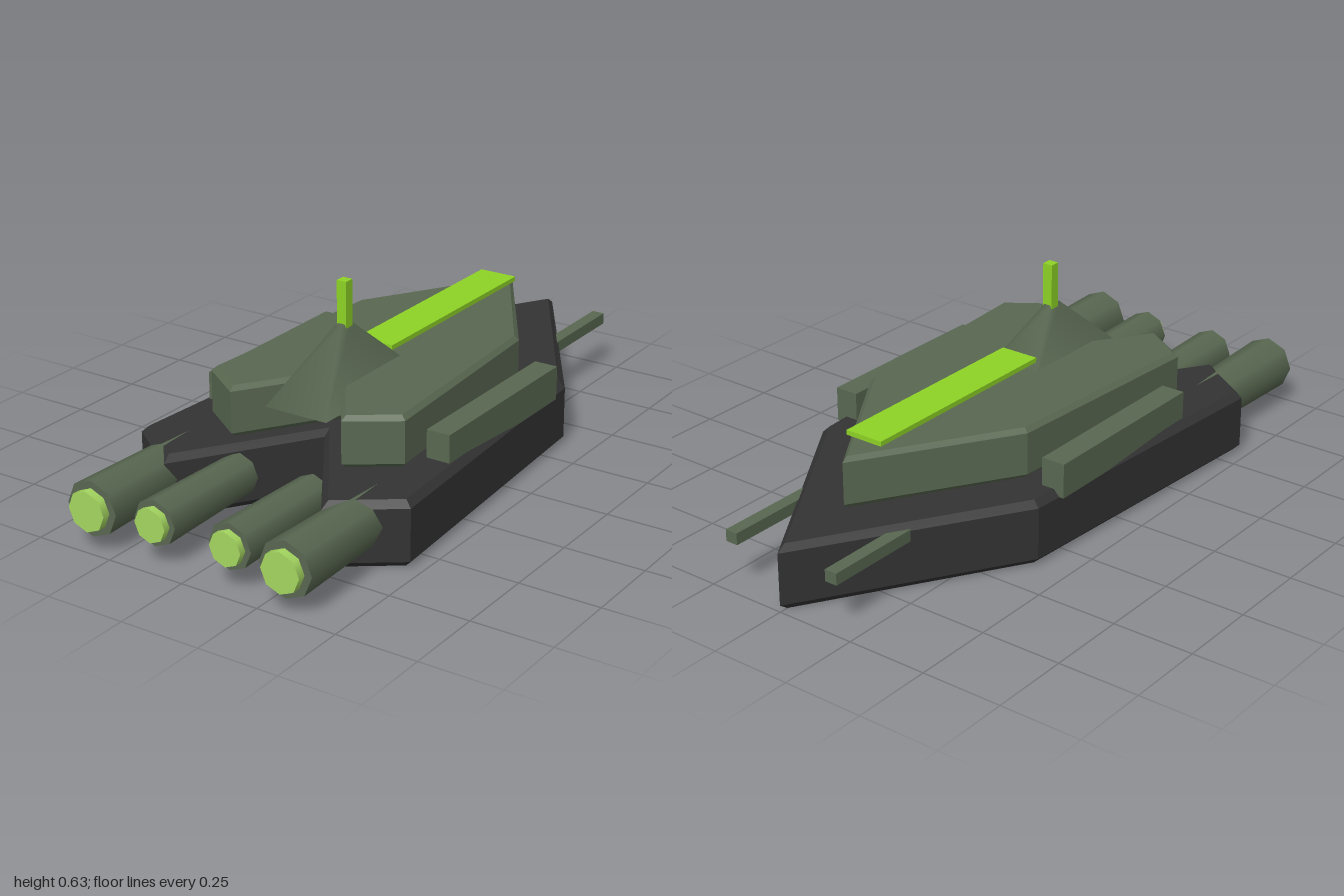
import * as THREE from 'three';

const paint = (color) => new THREE.MeshStandardMaterial({ color });

export function createModel() {
  const model = new THREE.Group();
  const dark = paint(0x333333);
  const olive = paint(0x596851);
  const green = paint(0x8ed325);
  const glow = paint(0xa5d760);

  const add = (name, geometry, material) => {
    const mesh = new THREE.Mesh(geometry, material);
    mesh.name = name;
    model.add(mesh);
    return mesh;
  };

  // box given by its lower and upper limits on each axis
  const box = (name, [x0, x1], [y0, y1], [z0, z1], material) =>
    add(name, new THREE.BoxGeometry(x1 - x0, y1 - y0, z1 - z0), material)
      .position.set((x0 + x1) / 2, (y0 + y1) / 2, (z0 + z1) / 2);

  // bevelled slab with a mirrored plan outline of (x, z) points
  const slab = (name, half, y0, y1, bevel, material) => {
    const left = half.filter(([x]) => x > 0).reverse().map(([x, z]) => [-x, z]);
    const shape = new THREE.Shape([...half, ...left].map(([x, z]) => new THREE.Vector2(x, z)));
    const geometry = new THREE.ExtrudeGeometry(shape, {
      depth: y1 - y0 - 2 * bevel,
      bevelThickness: bevel, bevelSize: bevel, bevelOffset: -bevel, bevelSegments: 1,
    });
    geometry.rotateX(Math.PI / 2).translate(0, y1 - bevel, 0);
    add(name, geometry, material);
  };

  // hull and the smaller deck of the same plan
  slab('hull', [[0, -1], [0.4, -0.37], [0.464, 0.59], [0.268, 0.73], [0, 0.33]], 0, 0.2, 0.02, dark);
  slab('upperDeck', [[0, -0.73], [0.29, -0.275], [0.335, 0.42], [0.19, 0.52], [0, 0.24]], 0.2, 0.357, 0.014, olive);

  // four-sided tower with the antenna on top
  const tower = new THREE.CylinderGeometry(0.1, 1, 0.2, 4, 1, false, Math.PI / 4);
  tower.scale(0.105 * Math.SQRT2, 1, 0.24 * Math.SQRT2);
  add('tower', tower, olive).position.set(0, 0.4, 0.23);
  box('antenna', [-0.016, 0.016], [0.48, 0.63], [0.207, 0.239], green);
  box('deckStripe', [-0.062, 0.062], [0.376, 0.391], [-0.64, 0.07], green);

  // eight-sided tapered barrel along z with a glowing core
  const thruster = (name, x, rBack, rFront, rGlow, z0, z1, glowEnd) => {
    const shell = new THREE.CylinderGeometry(rFront, rBack, z1 - z0, 8).rotateX(Math.PI / 2);
    add(name, shell, olive).position.set(x, 0.125, (z0 + z1) / 2);
    const core = new THREE.CylinderGeometry(rGlow, rGlow, 0.1, 8).rotateX(Math.PI / 2);
    add(name + 'Glow', core, glow).position.set(x, 0.125, glowEnd - 0.05);
  };

  for (const s of [1, -1]) {
    const side = s > 0 ? 'left' : 'right';
    const span = (a, b) => (s > 0 ? [a, b] : [-b, -a]);
    box(side + 'SidePod', span(0.345, 0.42), [0.18, 0.286], [-0.28, 0.325], olive);
    box(side + 'RearBarrel', span(0.16, 0.2), [0.148, 0.184], [-0.99, -0.5], olive);
    thruster(side + 'OuterThruster', s * 0.326, 0.074, 0.085, 0.062, 0.5, 0.975, 1);
    thruster(side + 'InnerThruster', s * 0.127, 0.062, 0.07, 0.052, 0.565, 0.95, 0.972);
  }
  return model;
}
